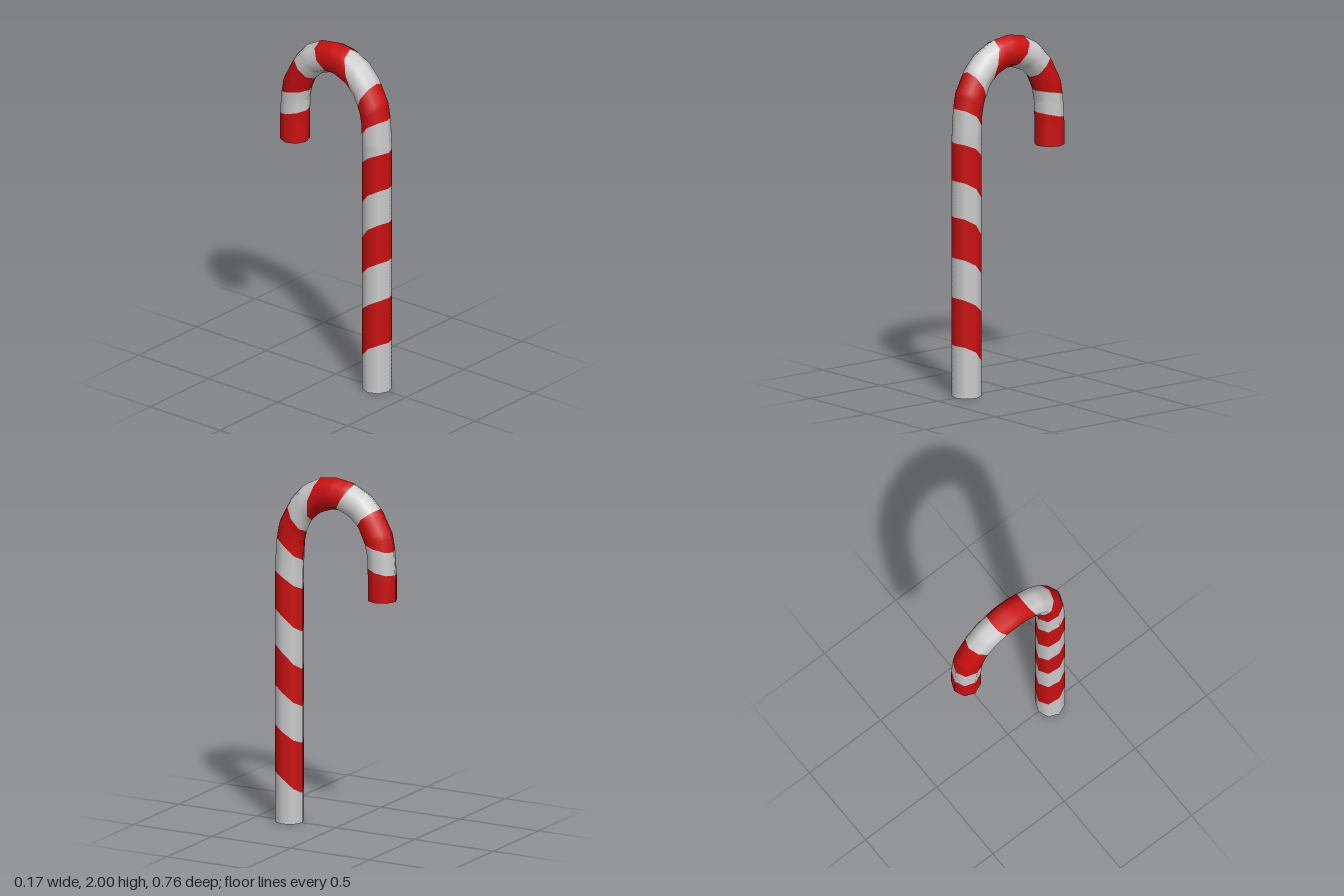
import * as THREE from 'three';

const SIDES = 8, STEPS = 12, R = 0.083, MID_Z = 0.2955;

// Side profile stations: [outer z, outer y, inner z, inner y]
const half = [
  [0.378, 1.46, 0.213, 1.46],
  [0.367, 1.62, 0.208, 1.59],
  [0.35, 1.72, 0.195, 1.65],
  [0.28, 1.85, 0.157, 1.735],
  [0.21, 1.927, 0.1, 1.787],
  [0.1, 1.985, 0.025, 1.815],
];
const mirrored = half.map(([a, b, c, d]) => [-a, b, -c, d]).reverse();
const stations = [
  [0.378, 0, 0.213, 0], ...half, [0, 2, 0, 1.815], ...mirrored, [-0.378, 1.34, -0.213, 1.34],
];

// Stripe borders as station positions: [outer edge, side, inner edge]
const borders = [
  [0, 0, 0], [0.202, 0.178, 0.116], [0.387, 0.36, 0.312], [0.541, 0.514, 0.455],
  [0.699, 0.671, 0.6], [0.839, 0.812, 0.747], [0.986, 0.966, 0.914], [2.1, 1.9, 1.31],
  [3.85, 3.6, 3.2], [6, 5.2, 4], [8.15, 8.1, 7.8], [9.95, 9.8, 9.95],
  [12, 11.5, 10.9], [12.81, 12.65, 12.46], [14, 14, 14],
];

// Point on the bent stick at station t and angle a around it
function surfacePoint(t, a) {
  const i = Math.min(Math.floor(t), stations.length - 2);
  const [oz, oy, iz, iy] = stations[i].map((v, n) => THREE.MathUtils.lerp(v, stations[i + 1][n], t - i));
  const c = Math.cos(a);
  return [R * Math.sin(a), (oy + iy) / 2 + c * (oy - iy) / 2, (oz + iz) / 2 + c * (oz - iz) / 2];
}

// Slanted border position at angle a
function borderAt([o, s, i], a) {
  const c = Math.cos(a);
  return s + c * (o - i) / 2 + c * c * ((o + i) / 2 - s);
}

// One continuous skin whose material alternates from stripe to stripe
function stripedSkin() {
  const geo = new THREE.BufferGeometry();
  const pos = [], index = [];
  const stripes = borders.length - 1;
  for (let j = 0; j <= stripes * STEPS; j++) {
    const b = Math.min(Math.floor(j / STEPS), stripes - 1);
    for (let k = 0; k < SIDES; k++) {
      const a = k / SIDES * Math.PI * 2;
      const t = THREE.MathUtils.lerp(borderAt(borders[b], a), borderAt(borders[b + 1], a), j / STEPS - b);
      pos.push(...surfacePoint(t, a));
    }
  }
  for (let j = 0; j < stripes * STEPS; j++) {
    for (let k = 0; k < SIDES; k++) {
      const n = (k + 1) % SIDES;
      const p = j * SIDES + k, q = j * SIDES + n;
      index.push(p, q, q + SIDES, p, q + SIDES, p + SIDES);
    }
  }
  geo.setAttribute('position', new THREE.Float32BufferAttribute(pos, 3));
  geo.setIndex(index);
  const perStripe = STEPS * SIDES * 6;
  for (let s = 0; s < stripes; s++) geo.addGroup(s * perStripe, perStripe, s % 2);
  geo.computeVertexNormals();
  return geo;
}

export function createModel() {
  const white = new THREE.MeshStandardMaterial({ color: 0xcccccc });
  white.name = 'white';
  const red = new THREE.MeshStandardMaterial({ color: 0xcc1010 });
  red.name = 'red';

  const model = new THREE.Group();
  model.name = 'candyCane';

  const cane = new THREE.Mesh(stripedSkin(), [white, red]);
  cane.name = 'stripedCane';
  model.add(cane);

  // Flat ends, both facing down
  const addEnd = (name, material, y, z) => {
    const end = new THREE.Mesh(new THREE.CircleGeometry(R, SIDES).rotateX(Math.PI / 2), material);
    end.name = name;
    end.position.set(0, y, z);
    model.add(end);
  };
  addEnd('shaftEnd', white, 0, MID_Z);
  addEnd('hookEnd', red, 1.34, -MID_Z);
  return model;
}
